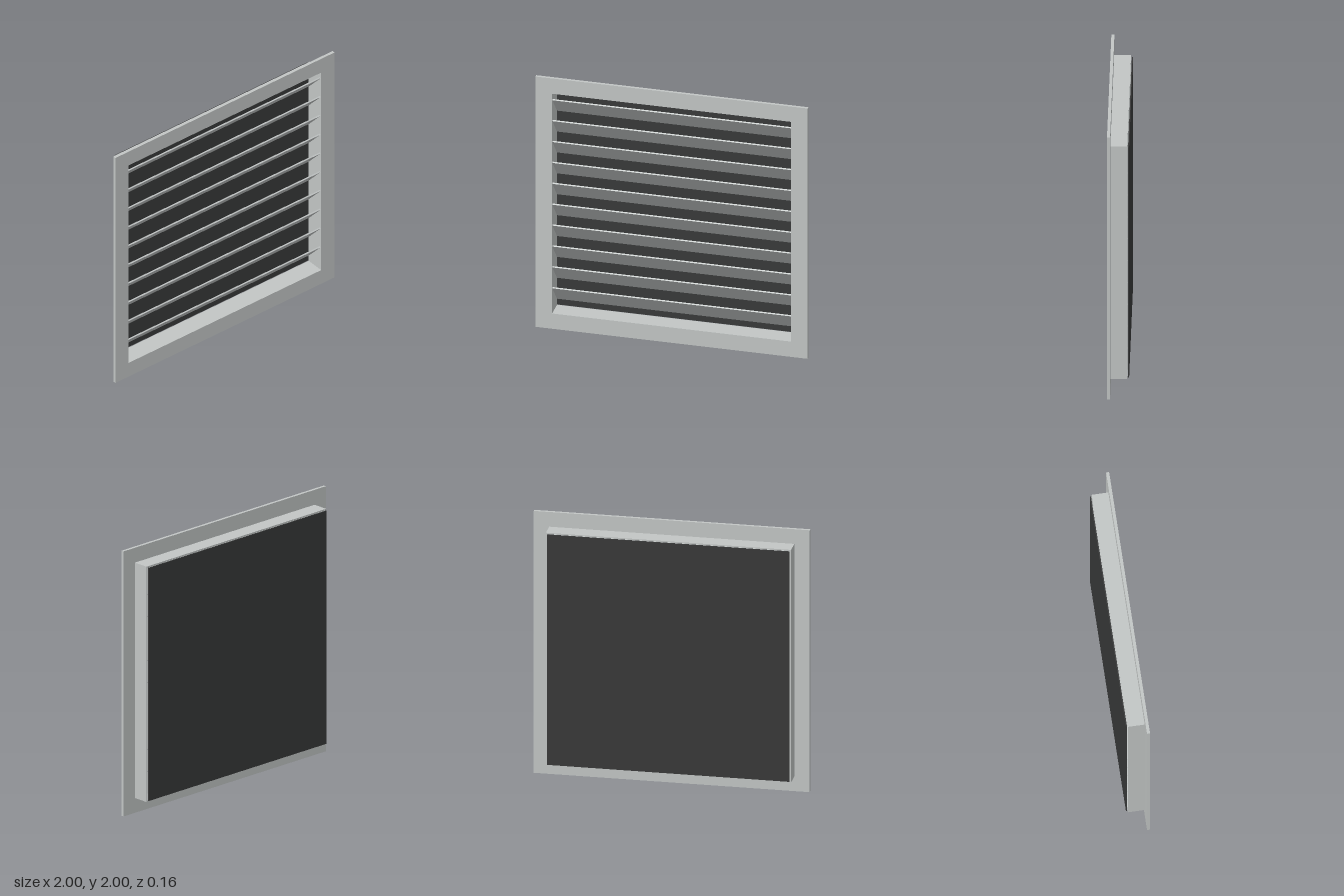
import * as THREE from 'three';

const CENTER_Y = 1;

// Square ring of half-size `outer` with a square hole, running from z0 to z1
function squareRing(outer, inner, z0, z1) {
  const square = (Type, r) => new Type([
    new THREE.Vector2(-r, -r), new THREE.Vector2(r, -r),
    new THREE.Vector2(r, r), new THREE.Vector2(-r, r),
  ]);
  const shape = square(THREE.Shape, outer);
  shape.holes.push(square(THREE.Path, inner));
  const geometry = new THREE.ExtrudeGeometry(shape, { depth: z1 - z0, bevelEnabled: false });
  return geometry.translate(0, CENTER_Y, z0);
}

export function createModel() {
  const group = new THREE.Group();
  const metal = new THREE.MeshStandardMaterial({ color: 0xc2c6c5 });
  metal.name = 'light grey metal';
  const mesh = new THREE.MeshStandardMaterial({ color: 0x383939 });
  mesh.name = 'dark grey screen';

  const add = (name, geometry, material, parent = group) => {
    const part = new THREE.Mesh(geometry, material);
    part.name = name;
    parent.add(part);
    return part;
  };

  // Wide front flange and the thin sleeve behind it
  add('flange', squareRing(1, 0.878, 0.056, 0.078), metal);
  add('sleeve', squareRing(0.888, 0.878, -0.064, 0.056), metal);

  // Flat screen closing the back
  add('backScreen', new THREE.BoxGeometry(1.758, 1.758, 0.008).translate(0, CENTER_Y, -0.074), mesh);

  // Ten slanted slats, front edge high and back edge low
  const slats = new THREE.Group();
  slats.name = 'slats';
  group.add(slats);
  const slatGeometry = new THREE.BoxGeometry(1.756, 0.01, 0.197);
  const count = 10, pitch = 0.167;
  for (let i = 0; i < count; i++) {
    const slat = add(`slat${i + 1}`, slatGeometry, metal, slats);
    slat.position.set(0, CENTER_Y + (i - (count - 1) / 2) * pitch, 0.001);
    slat.rotation.x = -0.846;
  }
  return group;
}
